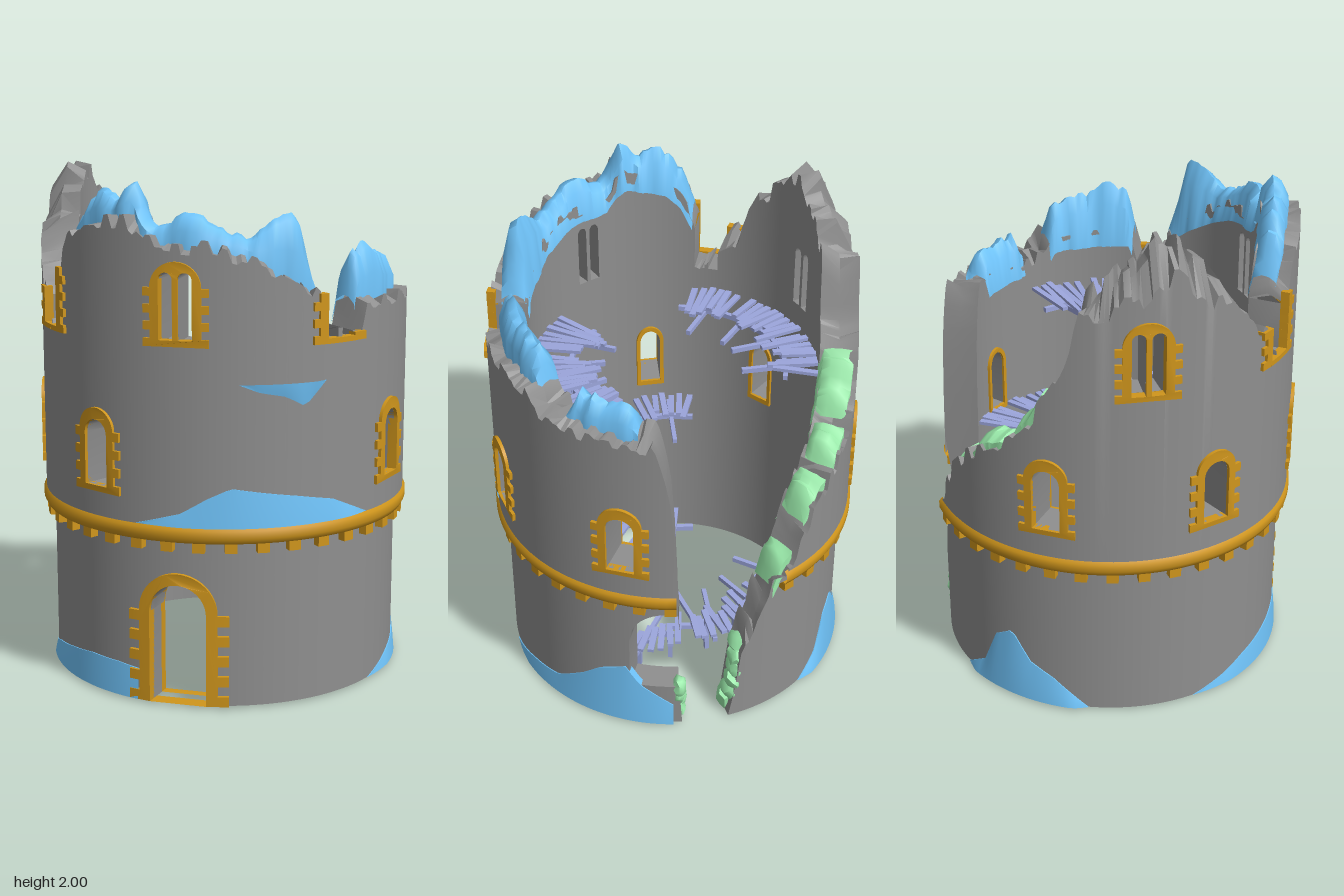
import * as THREE from 'three';
import { toCreasedNormals } from 'three/addons/utils/BufferGeometryUtils.js';

const RAD = Math.PI / 180, INNER = 0.575, LOWER = 0.69, UPPER = 0.725, STEP_Y = 0.67;
const material = (color, side = THREE.DoubleSide) => new THREE.MeshStandardMaterial({ color, side });
const stone = material(0x8f8f8f), gold = material(0xd0961c), snow = material(0x70c4fa), moss = material(0x9bebab);
const wood = material(0x9ca6dc, THREE.FrontSide);

// Angles are degrees around the tower: 0 = front, 90 = +x.
const polar = (r, a, y) => new THREE.Vector3(r * Math.sin(a * RAD), y, r * Math.cos(a * RAD));
const noise = (i) => { const s = Math.sin(i * 127.1 + 3.7) * 43758.5453; return s - Math.floor(s) - 0.5; };
const wallRadius = (y) => (y < STEP_Y ? LOWER : UPPER);
const table = (pts) => (a) => {
  if (a <= pts[0][0]) return pts[0][1];
  for (let i = 1; i < pts.length; i++) {
    const [a0, v0] = pts[i - 1], [a1, v1] = pts[i];
    if (a <= a1) return v0 + (v1 - v0) * (a - a0) / (a1 - a0);
  }
  return pts[pts.length - 1][1];
};

// Height of the ruined wall around the tower; the breach lies between 150 and 166 (= -194).
const profile = table([[-194, 0], [-190, 0.32], [-184, 0.5], [-178, 0.65], [-166, 0.9], [-156, 1.03], [-143, 1.12],
  [-133, 1.23], [-124, 1.42], [-119, 1.53], [-116, 1.72], [-108, 1.8], [-98, 1.88], [-92, 1.96], [-86, 1.96], [-80, 1.86],
  [-70, 1.8], [-64, 1.68], [-60, 1.56], [-52, 1.5], [-50, 1.42], [-44, 1.42], [-42, 1.62], [-36, 1.74], [-30, 1.8],
  [-12, 1.84], [-5, 1.76], [15, 1.74], [25, 1.7], [38, 1.63], [46, 1.57], [49, 1.52], [51, 1.42], [62, 1.4],
  [65, 1.52], [98, 1.51], [102, 1.44], [134, 1.42], [141, 1.42], [144, 1.32], [147, 1.12], [148.5, 0.75], [150, 0]]);
const rimDrop = table([[-115, 0], [-100, 0.11], [-75, 0.1], [-60, 0]]);
const rough = table([[-118, 0.08], [-110, 0.1], [-66, 0.1], [-45, 0.06]]);
const topAt = (a, k) => {
  const p = profile(a);
  return p <= 0 ? 0 : Math.max(0, p - (k ? 0 : rimDrop(a)) + rough(a) * noise(Math.floor(a / 2.8) * 3 + k));
};

// Openings: centre angle, half width, sill, spring line of the arch.
const DOOR = [3.3, 0.115, 0, 0.36];
const MID = [-126, -74, -23, 79, 131], TOP = [-96, 4], BROKEN = [-47, 54];
const opening = (a, half, y0, spring) => ({ a, half, h: half / UPPER / RAD, y0, spring });
const openings = [opening(...DOOR), opening(145, 0.16, 0.2, 0.43),
  ...MID.map((a) => opening(a, 0.055, 0.83, 1.03)),
  ...[...TOP, ...BROKEN].flatMap((a) => [-1, 1].map((s) => opening(a + s * 2.85, 0.026, 1.4, 1.63)))];
const archY = (o, a) => o.spring + o.half * Math.sqrt(Math.max(0, 1 - ((a - o.a) / o.h) ** 2));

function surface() {
  const pos = [];
  const tri = (a, b, c) => {
    if (b.clone().sub(a).cross(c.clone().sub(a)).length() > 1e-9) for (const p of [a, b, c]) pos.push(p.x, p.y, p.z);
  };
  return {
    quad(a, b, c, d) { tri(a, b, c); tri(a, c, d); },
    geometry(crease) {
      const g = new THREE.BufferGeometry();
      g.setAttribute('position', new THREE.Float32BufferAttribute(pos, 3));
      g.computeVertexNormals();
      return toCreasedNormals(g, crease);
    },
  };
}

// Curved wall made of columns, each split by the openings that cross it; open underneath.
function wallGeometry() {
  const s = surface(), angles = [148.5, 150];
  for (let a = -194; a <= 150; a += 1.4) angles.push(a);
  for (const o of openings) for (const t of [-1, -0.9, -0.6, 0, 0.6, 0.9, 1]) angles.push(o.a + o.h * t);
  angles.sort((p, q) => p - q);
  const point = (a, k, y) => polar([wallRadius(y), 0.65, INNER][k], a, y);
  const span = (a0, a1, lo, hi) => {
    if (hi(a0, 0) - lo(a0, 0) < 1e-5 && hi(a1, 0) - lo(a1, 0) < 1e-5) return;
    for (const [min, max, r] of [[0, STEP_Y, LOWER], [STEP_Y, 9, UPPER]]) {
      const c = (y) => Math.min(max, Math.max(min, y));
      s.quad(polar(r, a0, c(lo(a0, 0))), polar(r, a1, c(lo(a1, 0))), polar(r, a1, c(hi(a1, 0))), polar(r, a0, c(hi(a0, 0))));
    }
    const p = (a, k, f) => point(a, k, f(a, k));
    s.quad(p(a1, 2, lo), p(a0, 2, lo), p(a0, 2, hi), p(a1, 2, hi));
    for (const k of [0, 1]) {
      s.quad(p(a0, k, hi), p(a1, k, hi), p(a1, k + 1, hi), p(a0, k + 1, hi));
      if (lo(a0, k) > 0) s.quad(p(a0, k + 1, lo), p(a1, k + 1, lo), p(a1, k, lo), p(a0, k, lo));
    }
  };
  for (let i = 1; i < angles.length; i++) {
    const a0 = angles[i - 1], a1 = angles[i], mid = (a0 + a1) / 2;
    if (a1 - a0 < 1e-4) continue;
    let lo = () => 0;
    for (const o of openings.filter((q) => Math.abs(mid - q.a) < q.h).sort((p, q) => p.y0 - q.y0)) {
      span(a0, a1, lo, (a, k) => Math.min(o.y0, topAt(a, k)));
      lo = (a, k) => Math.min(archY(o, a), topAt(a, k));
    }
    span(a0, a1, lo, topAt);
  }
  for (const o of openings) for (const side of [-1, 1]) {
    const a = o.a + side * o.h;
    const c = [[0, o.y0], [2, o.y0], [2, o.spring], [0, o.spring]].map(([k, v]) => point(a, k, Math.min(v, topAt(a, k))));
    if (side > 0) c.reverse();
    s.quad(...c);
  }
  return s.geometry(0.5);
}

// Sweeps a cross-section of [radius, y] points around the tower.
function sweep(a0, a1, step, section) {
  const s = surface(), n = Math.ceil((a1 - a0) / step);
  const row = (i) => { const a = a0 + (a1 - a0) * i / n; return section(a).map(([r, y]) => polar(r, a, y)); };
  for (let i = 0; i < n; i++) {
    const p = row(i), q = row(i + 1);
    for (let j = 0; j + 1 < p.length; j++) s.quad(p[j], q[j], q[j + 1], p[j + 1]);
  }
  return s.geometry(1.0);
}
const cap = (pts, outer) => {
  const height = table(pts);
  return sweep(pts[0][0], pts[pts.length - 1][0], 1.6, (a) => {
    const y = profile(a), h = height(a) + 0.03 * noise(Math.round(a / 2.5)), w = 0.015 * noise(Math.round(a / 4) + 50);
    return [[outer + w, y - 0.05], [outer + w, y + 0.45 * h], [(outer + 0.62) / 2 + w, y + 0.9 * h], [0.62, y + h], [0.585 + w, y + 0.6 * h], [0.565 + w, y - 0.06]];
  });
};
const drift = (y0, r, pts, bulge, sign = 1) => {
  const height = table(pts);
  return sweep(pts[0][0], pts[pts.length - 1][0], 2, (a) => {
    const h = height(a), b = bulge * Math.min(1, h / 0.05) + 0.003;
    return [[r + b, y0], [r + 0.7 * b, y0 + sign * h * 0.5], [r + 0.004, y0 + sign * h], [r - 0.03, y0 + sign * h]];
  });
};

// Window surround with toothed side stones, bent around the wall.
function frame(a, half, y0, spring, tooth, rows, holes, r0, r1) {
  const shape = new THREE.Shape(), dy = (spring - y0) / rows, side = [];
  for (let i = 0; i < rows; i++) {
    const w = half + (i % 2 ? 0 : tooth);
    side.push([w, y0 + i * dy], [w, y0 + (i + 1) * dy]);
  }
  side.forEach(([x, y], i) => (i ? shape.lineTo(x, y) : shape.moveTo(x, y)));
  shape.absarc(0, spring, half, 0, Math.PI, false);
  side.reverse().forEach(([x, y]) => shape.lineTo(-x, y));
  for (const [x, w, b, t] of holes) {
    const hole = new THREE.Path().moveTo(x - w, b).lineTo(x + w, b).lineTo(x + w, t);
    hole.absarc(x, t, w, 0, Math.PI, false);
    shape.holes.push(hole);
  }
  const g = new THREE.ExtrudeGeometry(shape, { depth: r1 - r0, bevelEnabled: false, curveSegments: 10 });
  const p = g.attributes.position;
  for (let i = 0; i < p.count; i++) {
    const v = polar(r0 + p.getZ(i), a + p.getX(i) / UPPER / RAD, p.getY(i));
    p.setXYZ(i, v.x, v.y, v.z);
  }
  return toCreasedNormals(g, 0.5);
}

export function createModel() {
  const model = new THREE.Group();
  const add = (name, geometry, mat, parent = model) => {
    const m = new THREE.Mesh(geometry, mat);
    m.name = name;
    parent.add(m);
    return m;
  };
  const group = (name) => { const g = new THREE.Group(); g.name = name; model.add(g); return g; };
  const block = (name, r, a, y, w, h, d, parent) => {
    const m = add(name, new THREE.BoxGeometry(w, h, d), gold, parent);
    m.position.copy(polar(r, a, y));
    m.rotation.y = a * RAD;
  };
  add('towerWall', wallGeometry(), stone);

  // String course with corbels
  add('stringCourse', sweep(-176, 148, 3, () => [[0.68, 0.645], [0.725, 0.65], [0.735, 0.67], [0.735, 0.7], [0.72, 0.715]]), gold);
  const corbels = group('corbels');
  for (let a = -174; a < 147; a += 9.7) block('corbel', 0.695, a, 0.632, 0.046, 0.04, 0.055, corbels);

  // Door and window surrounds
  const surrounds = group('surrounds');
  const doorHole = [[0, 0.115, 0.0005, 0.36]];
  add('doorSurround', frame(DOOR[0], 0.16, 0, 0.36, 0.045, 9, doorHole, 0.66, 0.705), gold, surrounds);
  add('doorInnerSurround', frame(DOOR[0], 0.145, 0, 0.36, 0, 2, doorHole, 0.565, 0.6), gold, surrounds);
  for (const a of MID) {
    const hole = [[0, 0.055, 0.83, 1.03]];
    add('windowSurround', frame(a, 0.085, 0.805, 1.045, 0.027, 7, hole, 0.7, 0.738), gold, surrounds);
    add('windowInnerSurround', frame(a, 0.075, 0.81, 1.03, 0, 2, hole, 0.565, 0.58), gold, surrounds);
  }
  for (const a of TOP) {
    const lancets = [-0.036, 0.036].map((x) => [x, 0.026, 1.41, 1.63]);
    add('twinWindowSurround', frame(a, 0.095, 1.385, 1.6, 0.027, 7, lancets, 0.7, 0.737), gold, surrounds);
  }
  // Side stones left on the broken windows
  for (const a of BROKEN) for (const side of [-1, 1]) {
    for (let i = 0; i < 8; i++) {
      const w = i % 2 ? 0.035 : 0.06, y = 1.4 + i * 0.031, at = a + side * (0.062 + w / 2) / UPPER / RAD;
      if (y < profile(at) + 0.02) block('brokenSurround', 0.72, at, y, w, 0.031, 0.034, surrounds);
    }
    block('brokenSill', 0.72, a + side * 2.5, 1.394, 0.07, 0.02, 0.034, surrounds);
  }

  // Snow on the wall tops
  const snowParts = group('snow');
  const caps = [
    [[-41, 0.03], [-37, 0.09], [-32, 0.1], [-28, 0.12], [-20, 0.09], [-17, 0.1], [-12, 0.12], [-8, 0.05], [-2, 0.06], [3, 0.1], [10, 0.11], [18, 0.08], [27, 0.07], [32, 0.14], [37, 0.22], [42, 0.27], [46, 0.1], [49, 0.03]],
    [[64, 0.05], [67, 0.16], [74, 0.22], [80, 0.16], [90, 0.16], [97, 0.13], [100, 0.04]],
    [[112, 0.05], [115, 0.12], [128, 0.11], [134, 0.1], [136, 0.03]]];
  for (const c of caps) add('snowCap', cap(c, 0.675), snow, snowParts);
  // Drifts against the wall
  add('ledgeDrift', drift(0.712, UPPER, [[-9, 0], [5, 0.05], [13, 0.11], [20, 0.15], [30, 0.13], [40, 0.11], [52, 0.08], [66, 0]], 0.012), snow, snowParts);
  add('wallSnowPatch', drift(1.25, UPPER, [[22, 0], [28, 0.03], [36, 0.05], [42, 0.09], [49, 0]], 0.012, -1), snow, snowParts);
  add('baseDrift', drift(0, LOWER, [[-78, 0], [-66, 0.04], [-56, 0.08], [-42, 0.11], [-30, 0.13], [-18, 0.13], [-10, 0.12]], 0.012), snow, snowParts);
  add('baseDrift', drift(0, LOWER, [[73, 0], [90, 0.06], [104, 0.09], [115, 0.18], [122, 0.25], [131, 0.29], [136, 0.2], [147, 0.1]], 0.012), snow, snowParts);
  add('baseDrift', drift(0, LOWER, [[-164, 0], [-154, 0.08], [-148, 0.24], [-141, 0.29], [-134, 0.17], [-126, 0.12], [-114, 0]], 0.02), snow, snowParts);

  // Moss in patches along the broken slope, clumps at the foot of the breach
  const mossParts = group('moss');
  for (const [a0, a1] of [[-179, -172], [-167, -156], [-154, -141], [-139, -126]]) {
    add('mossPatch', cap([[a0, 0.01], [a0 + 3, 0.06], [a1 - 3, 0.05], [a1, 0.01]], 0.705), moss, mossParts);
  }
  const clump = (a, y, r, size, seed) => {
    const g = new THREE.IcosahedronGeometry(1, 1), p = g.attributes.position;
    for (let j = 0; j < p.count; j++) {
      const k = 1 + 0.35 * noise(Math.round(p.getX(j) * 31 + p.getY(j) * 57 + p.getZ(j) * 91) + seed);
      p.setXYZ(j, p.getX(j) * k, p.getY(j) * k, p.getZ(j) * k);
    }
    const m = add('mossClump', toCreasedNormals(g, 0.8), moss, mossParts);
    m.scale.set(size * 0.7, size * 1.1, size);
    m.position.copy(polar(r, a, y));
    m.rotation.y = a * RAD;
  };
  for (let i = 0; i < 6; i++) {
    clump(-193 + i * 0.9, 0.05 + i * 0.055, 0.635 + 0.04 * noise(i), 0.05, i);
    if (i < 4) clump(149, 0.05 + i * 0.045, 0.64 + 0.05 * noise(i + 9), 0.042, i + 20);
  }

  // Broken plank floors: start, end, heights at both ends, plank length
  const floors = group('plankFloors');
  const beam = (name, r, a, y, w, h, len, turn = 0, tilt = 0) => {
    const m = add(name, new THREE.BoxGeometry(w, h, len), wood, floors);
    m.position.copy(polar(r, a, y));
    m.rotation.set(tilt, a * RAD + turn, 0, 'YXZ');
  };
  const levels = [[22, 108, 1.3, 1.3, 0.24], [-128, -40, 1.3, 1.3, 0.17], [-40, 4, 0.74, 0.74, 0.17],
    [30, 148, 0.77, 0.83, 0.22], [-200, -130, 0.34, 0.4, 0.15], [126, 158, 0.24, 0.36, 0.16]];
  levels.forEach(([a0, a1, y0, y1, length], n) => {
    for (let a = a0, i = 0; a < a1; a += 3.9, i++) {
      const y = y0 + (y1 - y0) * (a - a0) / (a1 - a0), k = i + n * 40;
      const len = length + 0.09 * noise(k);
      if (i % 9 !== 7) beam('plank', 0.572 - len / 2, a, y + 0.012 * noise(k + 5), 0.025, 0.014, len, 0.16 * noise(k + 7), 0.14 * noise(k + 8));
      if (i % 3 === 0) beam('joist', 0.53 - length * 0.5, a + 3, y - 0.022, 0.11, 0.02, 0.018, 0.1 * noise(k + 3));
      if (i % 6 === 2) beam('longBeam', 0.42, a, y - 0.03, 0.018, 0.02, 0.3, 0.5 * noise(k + 11));
      if (n > 3 && i % 4 === 1) beam('post', 0.47, a, y - 0.08, 0.018, 0.15, 0.018);
    }
  });
  return model;
}
